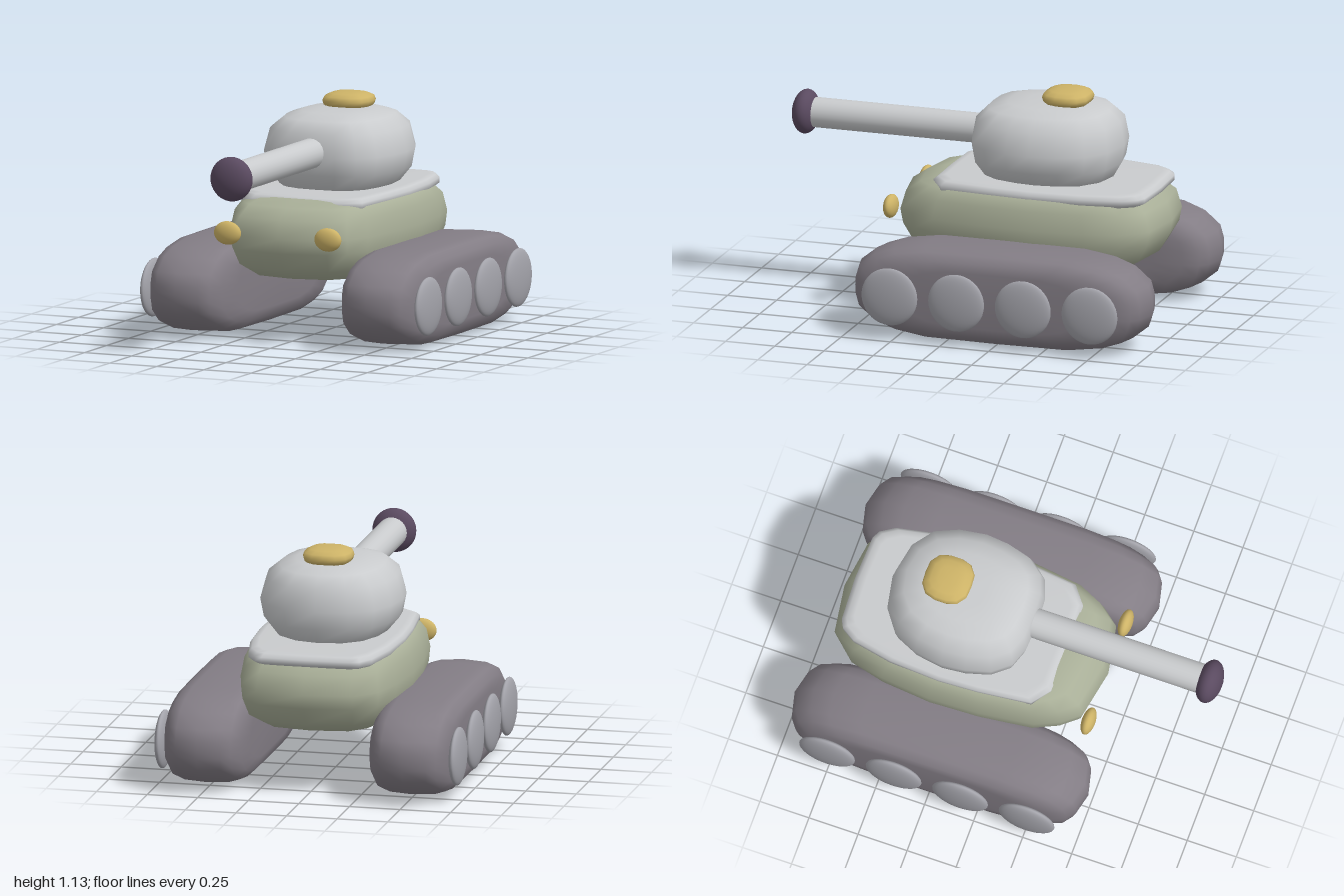
import * as THREE from 'three';

const mat = (name, color) => {
  const m = new THREE.MeshStandardMaterial({ color });
  m.name = name;
  return m;
};

// Closed smooth body: half outline [x, z] (front to back, mirrored in x), scaled at each height [y, sx, sz]
function loft(half, sections) {
  const ring = [...half, ...half.slice(1, -1).reverse().map(([x, z]) => [-x, z])];
  const n = ring.length, pos = [], idx = [];
  for (const [y, sx, sz] of sections) for (const [x, z] of ring) pos.push(x * sx, y, z * sz);
  for (let i = 0; i < sections.length - 1; i++) {
    for (let j = 0; j < n; j++) {
      const k = (j + 1) % n, a = i * n + j, b = i * n + k;
      idx.push(a, b, b + n, a, b + n, a + n);
    }
  }
  const last = sections.length - 1, bottom = pos.length / 3, top = bottom + 1;
  pos.push(0, sections[0][0], 0, 0, sections[last][0], 0);
  for (let j = 0; j < n; j++) {
    const k = (j + 1) % n;
    idx.push(bottom, k, j, top, last * n + j, last * n + k);
  }
  const g = new THREE.BufferGeometry();
  g.setAttribute('position', new THREE.Float32BufferAttribute(pos, 3));
  g.setIndex(idx);
  g.computeVertexNormals();
  return g;
}

const ellipsoid = (rx, ry, rz) => new THREE.SphereGeometry(1, 28, 18).scale(rx, ry, rz);

export function createModel() {
  const model = new THREE.Group();
  model.name = 'tank';
  const trackGrey = mat('track grey', 0x837d85);
  const wheelGrey = mat('wheel grey', 0xa3a3aa);
  const hullGreen = mat('hull green', 0xa9af98);
  const paleGrey = mat('pale grey', 0xc9cbcd);
  const gold = mat('gold', 0xcdb367);
  const plum = mat('dark plum', 0x5a4a60);

  const add = (name, geometry, material, x, y, z) => {
    const mesh = new THREE.Mesh(geometry, material);
    mesh.name = name;
    mesh.position.set(x, y, z);
    model.add(mesh);
    return mesh;
  };

  // Hull
  add('hull', loft(
    [[0, 0.67], [0.24, 0.625], [0.31, 0.54], [0.365, 0.42], [0.4, 0.15], [0.41, -0.1],
      [0.385, -0.35], [0.34, -0.53], [0.24, -0.64], [0, -0.675]],
    [[0.295, 0.5, 0.6], [0.31, 0.76, 0.77], [0.36, 0.92, 0.9], [0.45, 0.985, 0.98], [0.52, 1, 1],
      [0.61, 0.96, 0.96], [0.66, 0.89, 0.85], [0.69, 0.76, 0.7]]
  ), hullGreen, 0, 0, -0.25);

  // Deck plate
  add('deck', loft(
    [[0, 0.535], [0.23, 0.53], [0.32, 0.46], [0.35, 0.2], [0.36, 0], [0.345, -0.25],
      [0.305, -0.45], [0.26, -0.52], [0.22, -0.54], [0, -0.55]],
    [[0.64, 0.95, 0.95], [0.655, 1, 1], [0.68, 1, 1], [0.697, 0.96, 0.96], [0.703, 0.88, 0.9]]
  ), paleGrey, 0, 0, -0.32);

  // Turret
  add('turret', loft(
    [[0, 0.367], [0.13, 0.36], [0.23, 0.325], [0.3, 0.24], [0.335, 0.12], [0.347, 0],
      [0.325, -0.14], [0.27, -0.26], [0.16, -0.34], [0, -0.37]],
    [[0.69, 0.62, 0.72], [0.71, 0.78, 0.85], [0.78, 0.95, 0.96], [0.87, 1, 1], [0.98, 0.91, 0.95],
      [1.035, 0.72, 0.8], [1.06, 0.5, 0.55], [1.065, 0.25, 0.3]]
  ), paleGrey, 0, 0, -0.31);

  // Hatch
  add('hatch', loft(
    [[0, 0.117], [0.06, 0.113], [0.105, 0.08], [0.12, 0.03], [0.12, -0.03], [0.105, -0.08],
      [0.06, -0.113], [0, -0.117]],
    [[1.055, 0.8, 0.8], [1.07, 0.95, 0.95], [1.09, 1, 1], [1.11, 0.93, 0.93], [1.124, 0.7, 0.7], [1.13, 0.4, 0.4]]
  ), gold, 0, 0, -0.395);

  // Gun
  add('barrel', new THREE.CylinderGeometry(0.073, 0.073, 1, 24).rotateX(Math.PI / 2), paleGrey, 0, 0.887, 0.4);
  add('muzzle', ellipsoid(0.108, 0.108, 0.063), plum, 0, 0.887, 0.937);

  // Tracks lie on their side: outline x becomes height, section height becomes width
  const end = [[0, 0.75], [0.04, 0.748], [0.1, 0.73], [0.165, 0.65], [0.2, 0.55], [0.225, 0.38]];
  const outline = [...end, [0.228, 0], ...end.slice().reverse().map(([x, z]) => [x, -z])];
  const side = [[0.2, 0.6, 0.6], [0.19, 0.8, 0.82], [0.155, 0.94, 0.92], [0.11, 0.99, 0.965], [0, 1, 1]];
  const trackShape = loft(outline, [...side.map(([y, a, b]) => [-y, a, b]), ...side.slice(0, -1).reverse()]);
  trackShape.rotateZ(Math.PI / 2);
  const wheelShape = ellipsoid(0.032, 0.142, 0.142);
  const lampShape = ellipsoid(0.07, 0.057, 0.033);

  for (const [label, s] of [['left', 1], ['right', -1]]) {
    add(label + 'Track', trackShape, trackGrey, s * 0.507, 0.232, -0.25);
    for (let i = 0; i < 4; i++) {
      add(label + 'Wheel' + (i + 1), wheelShape, wheelGrey, s * 0.727, 0.222, 0.262 - i * 0.339);
    }
    add(label + 'Headlight', lampShape, gold, s * 0.266, 0.536, 0.414);
  }
  return model;
}
